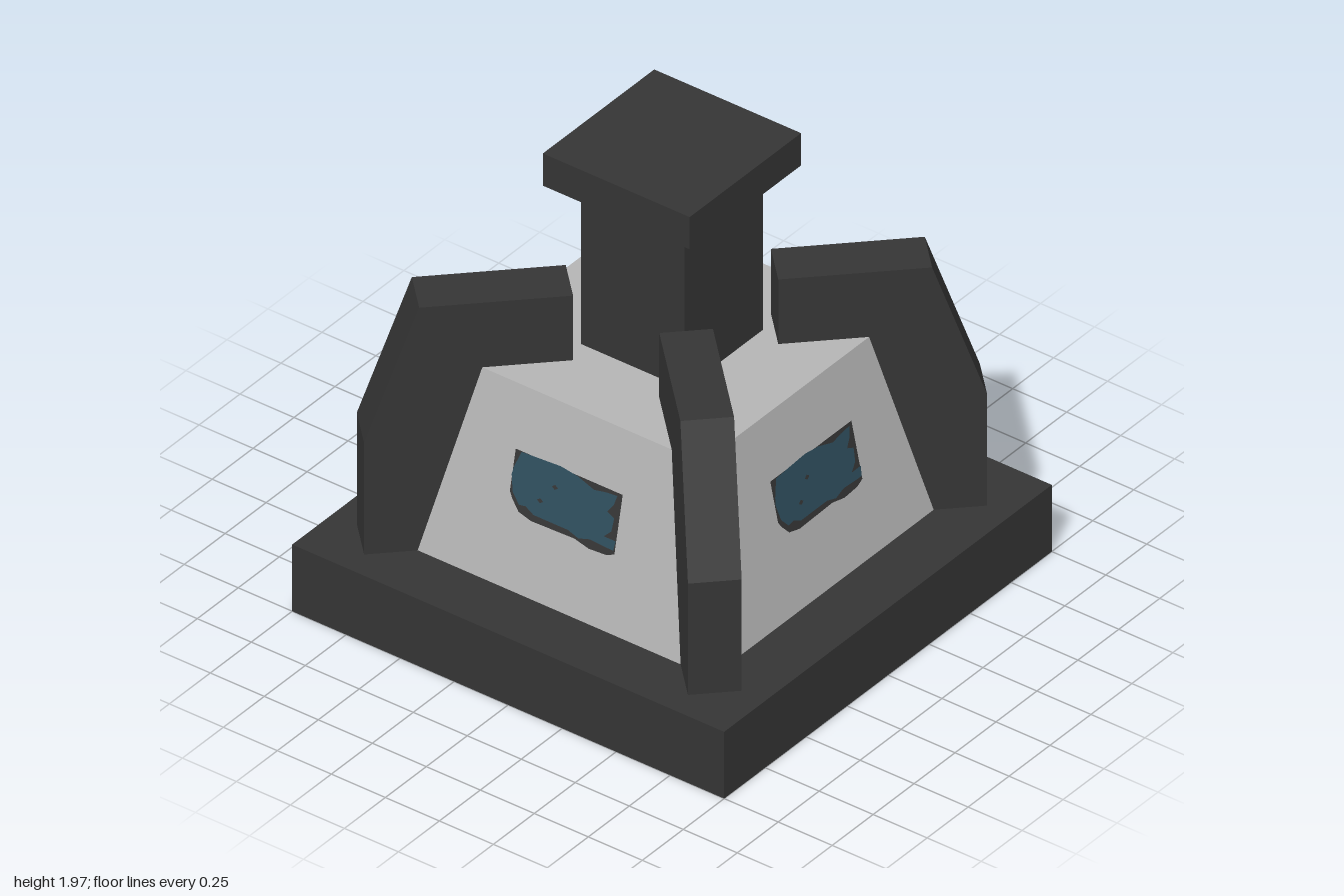
import * as THREE from 'three';

const BODY = { y0: 0.3, y1: 1.1, r0: 0.75, r1: 0.58 };

function material(name, color) {
  const m = new THREE.MeshStandardMaterial({ color, flatShading: true });
  m.name = name;
  return m;
}

function polygon(points, Type = THREE.Shape) {
  return new Type(points.map(([x, y]) => new THREE.Vector2(x, y)));
}

export function createModel() {
  const model = new THREE.Group();
  model.name = 'tower';
  const dark = material('charcoal', 0x353535);
  const light = material('light grey', 0xb5b5b5);
  const blue = material('slate blue', 0x2e4d5c);

  function add(parent, name, geometry, mat) {
    const mesh = new THREE.Mesh(geometry, mat);
    mesh.name = name;
    parent.add(mesh);
    return mesh;
  }
  // Square block given by half width and bottom/top heights
  function block(name, half, y0, y1) {
    const geo = new THREE.BoxGeometry(half * 2, y1 - y0, half * 2);
    add(model, name, geo, dark).position.y = (y0 + y1) / 2;
  }

  block('base', 1, 0, 0.3);
  block('column', 0.24, BODY.y1 - 0.02, 1.83);
  block('cap', 0.34, 1.825, 1.97);

  // Tapered square body
  const height = BODY.y1 - BODY.y0;
  const bodyGeo = new THREE.CylinderGeometry(BODY.r1 * Math.SQRT2, BODY.r0 * Math.SQRT2, height, 4);
  bodyGeo.rotateY(Math.PI / 4);
  add(model, 'body', bodyGeo, light).position.y = (BODY.y0 + BODY.y1) / 2;

  // Corner buttress: radial profile extruded to its thickness
  const finGeo = new THREE.ExtrudeGeometry(
    polygon([[0.382, 0.3], [1.16, 0.3], [1.16, 0.8], [0.955, 1.39], [0.382, 1.39]]),
    { depth: 0.2, bevelEnabled: false });
  finGeo.translate(0, 0, -0.1);

  // Ragged window panels, in coordinates of the upright face
  const frame = polygon([
    [-0.24, 0.85], [-0.24, 0.68], [-0.225, 0.655], [-0.19, 0.615], [-0.13, 0.6], [0.07, 0.605],
    [0.14, 0.59], [0.22, 0.595], [0.255, 0.61], [0.255, 0.85]]);
  const glass = polygon([
    [-0.21, 0.85], [-0.235, 0.78], [-0.24, 0.75], [-0.225, 0.685], [-0.19, 0.645], [-0.16, 0.65],
    [-0.12, 0.63], [0.04, 0.63], [0.09, 0.615], [0.14, 0.63], [0.25, 0.625], [0.255, 0.665],
    [0.2, 0.665], [0.23, 0.695], [0.235, 0.75], [0.2, 0.765], [0.225, 0.8], [0.235, 0.84],
    [0.18, 0.835], [0.13, 0.825], [0.05, 0.85], [-0.03, 0.86]]);
  // Small worn spots in the glass
  for (const [x, y] of [[-0.043, 0.77], [-0.1, 0.695]]) {
    glass.holes.push(polygon(
      [[x - 0.014, y], [x, y + 0.01], [x + 0.014, y], [x, y - 0.01]], THREE.Path));
  }

  // Lay a flat panel on the sloping face, slightly raised
  function onSlope(shape, lift) {
    const geo = new THREE.ShapeGeometry(shape);
    const pos = geo.attributes.position;
    for (let i = 0; i < pos.count; i++) {
      const t = (pos.getY(i) - BODY.y0) / height;
      pos.setZ(i, BODY.r0 + (BODY.r1 - BODY.r0) * t + lift);
    }
    geo.computeVertexNormals();
    return geo;
  }
  const frameGeo = onSlope(frame, 0.004);
  const glassGeo = onSlope(glass, 0.008);

  // Four sides, each with a window and a corner buttress
  ['front', 'left', 'back', 'right'].forEach((side, i) => {
    const group = new THREE.Group();
    group.name = side + 'Side';
    group.rotation.y = i * Math.PI / 2;
    add(group, 'windowFrame', frameGeo, dark);
    add(group, 'windowGlass', glassGeo, blue);
    add(group, 'buttress', finGeo, dark).rotation.y = Math.PI / 4;
    model.add(group);
  });

  return model;
}
